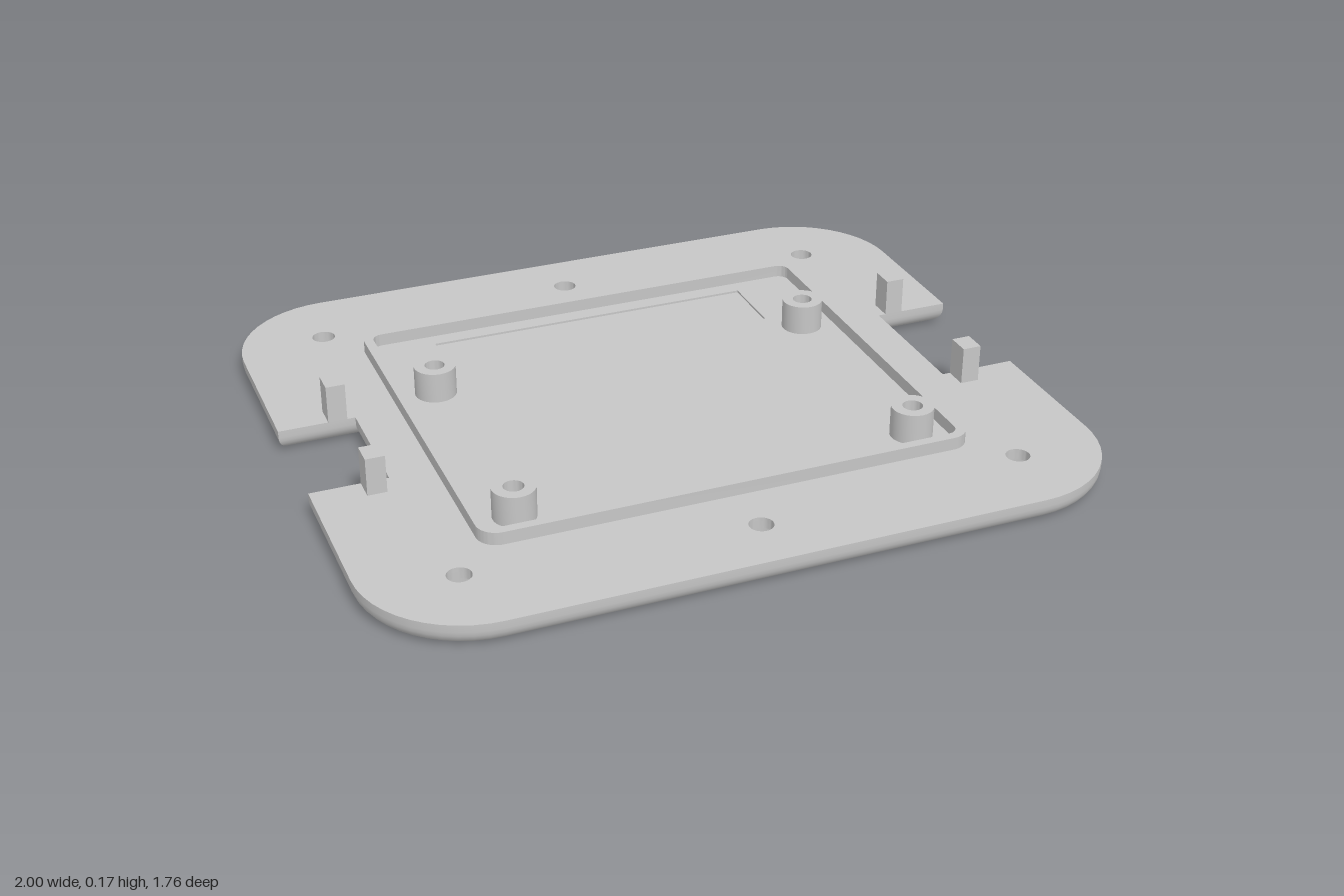
import * as THREE from 'three';
import { toCreasedNormals } from 'three/addons/utils/BufferGeometryUtils.js';

const TOP = 0.065;            // upper face of the plate
const FILLET = 0.045;         // rounding of the lower edge
const RECESS_DEPTH = 0.006;
const RECESS = [-0.47, 0.47, 0.3, 0.5]; // x0, x1, v0, v1 with v = -z

const grey = new THREE.MeshStandardMaterial({ color: 0xc6c6c6, side: THREE.DoubleSide });
grey.name = 'grey plastic';

// Plate outline with a notch on each side, inset by d all round
function outline(d) {
  const w = 1 - d, h = 0.88 - d, r = 0.29 - d, pts = [];
  const add = (x, v) => pts.push(new THREE.Vector2(x, v));
  const corner = (sx, sv, start) => {
    for (let i = 0; i <= 12; i++) {
      const a = start + (i / 12) * Math.PI / 2;
      add(sx * (w - r) + r * Math.cos(a), sv * (h - r) + r * Math.sin(a));
    }
  };
  const notch = (s, depth, half) => {
    add(s * w, -s * half); add(s * depth, -s * half);
    add(s * depth, s * half); add(s * w, s * half);
  };
  notch(1, 0.787 - d, 0.195 + d);
  corner(1, 1, 0);
  corner(-1, 1, Math.PI / 2);
  notch(-1, 0.79 - d, 0.168 + d);
  corner(-1, -1, Math.PI);
  corner(1, -1, Math.PI * 1.5);
  return pts;
}

// Side surface through a stack of closed rings, listed from bottom to top
function skin(rings) {
  const pos = [];
  for (let k = 0; k + 1 < rings.length; k++) {
    const lo = rings[k], hi = rings[k + 1], n = lo.pts.length;
    for (let i = 0; i < n; i++) {
      const j = (i + 1) % n;
      for (const [ring, m] of [[lo, i], [lo, j], [hi, j], [lo, i], [hi, j], [hi, i]]) {
        pos.push(ring.pts[m].x, ring.y, -ring.pts[m].y);
      }
    }
  }
  const g = new THREE.BufferGeometry();
  g.setAttribute('position', new THREE.Float32BufferAttribute(pos, 3));
  return toCreasedNormals(g, 0.6);
}

function lathe(points) {
  const profile = points.map(([r, y]) => new THREE.Vector2(r, y));
  return toCreasedNormals(new THREE.LatheGeometry(profile, 32), 0.6);
}

function roundedRect(target, w, h, r) {
  target.moveTo(w, -h + r);
  target.lineTo(w, h - r);
  target.absarc(w - r, h - r, r, 0, Math.PI / 2);
  target.absarc(-w + r, h - r, r, Math.PI / 2, Math.PI);
  target.absarc(-w + r, -h + r, r, Math.PI, Math.PI * 1.5);
  target.absarc(w - r, -h + r, r, Math.PI * 1.5, Math.PI * 2);
  return target;
}

export function createModel() {
  const model = new THREE.Group();
  model.name = 'basePlate';
  const part = (name, geometry, x = 0, y = 0, z = 0) => {
    const mesh = new THREE.Mesh(geometry, grey);
    mesh.name = name;
    mesh.position.set(x, y, z);
    model.add(mesh);
  };

  const screws = [];
  for (const s of [-1, 1]) screws.push([-0.755, s * 0.66], [0, s * 0.72], [0.755, s * 0.66]);

  const cap = (pts, holeRadius) => {
    const shape = new THREE.Shape(pts);
    for (const [x, v] of screws) {
      shape.holes.push(new THREE.Path().absarc(x, v, holeRadius, 0, Math.PI * 2, true));
    }
    return shape;
  };

  // Plate: upper face, lower face and rounded rim
  const [x0, x1, v0, v1] = RECESS;
  const recess = [[x0, v0], [x0, v1], [x1, v1], [x1, v0]].map(([x, v]) => new THREE.Vector2(x, v));
  const upper = cap(outline(0), 0.032);
  upper.holes.push(new THREE.Path(recess));
  part('plateTop', new THREE.ShapeGeometry(upper, 16).rotateX(-Math.PI / 2), 0, TOP, 0);
  // The lower face is mirrored front to back, which its outline allows
  part('plateBottom', new THREE.ShapeGeometry(cap(outline(FILLET), 0.06), 16).rotateX(Math.PI / 2));

  const rings = [];
  for (let i = 0; i <= 6; i++) {
    const a = (i / 6) * Math.PI / 2;
    rings.push({ pts: outline(FILLET * (1 - Math.sin(a))), y: FILLET * (1 - Math.cos(a)) });
  }
  rings.push({ pts: outline(0), y: TOP });
  part('plateRim', skin(rings));

  // Shallow recess in the tray floor
  const floorY = TOP - RECESS_DEPTH;
  part('recessWalls', skin([{ pts: recess, y: floorY }, { pts: recess, y: TOP }]));
  part('recessFloor', new THREE.PlaneGeometry(x1 - x0, v1 - v0).rotateX(-Math.PI / 2),
    (x0 + x1) / 2, floorY, -(v0 + v1) / 2);

  // Counterbored screw holes
  for (const [x, z] of screws) {
    part('screwHole', lathe([[0.032, TOP], [0.032, 0.035], [0.06, 0.035], [0.06, 0]]), x, 0, z);
  }

  // Raised frame around the tray
  const frame = roundedRect(new THREE.Shape(), 0.67, 0.573, 0.055);
  frame.holes.push(roundedRect(new THREE.Path(), 0.643, 0.547, 0.03));
  const frameGeo = new THREE.ExtrudeGeometry(frame, { depth: 0.035, bevelEnabled: false, curveSegments: 8 });
  part('trayFrame', toCreasedNormals(frameGeo.rotateX(-Math.PI / 2), 0.6), 0, TOP, 0);

  // Hollow mounting posts
  for (const x of [-0.55, 0.55]) {
    for (const z of [-0.222, 0.457]) {
      part('mountingPost', lathe([[0.057, TOP], [0.057, 0.15], [0.027, 0.15], [0.027, 0.07], [0, 0.07]]), x, 0, z);
    }
  }

  // Upright tabs beside the notches
  for (const s of [-1, 1]) {
    part('leftTab', new THREE.BoxGeometry(0.052, 0.105, 0.065), 0.835, TOP + 0.0525, s * 0.2275);
    part('rightTab', new THREE.BoxGeometry(0.052, 0.105, 0.065), -0.838, TOP + 0.0525, s * 0.2005);
  }
  return model;
}
